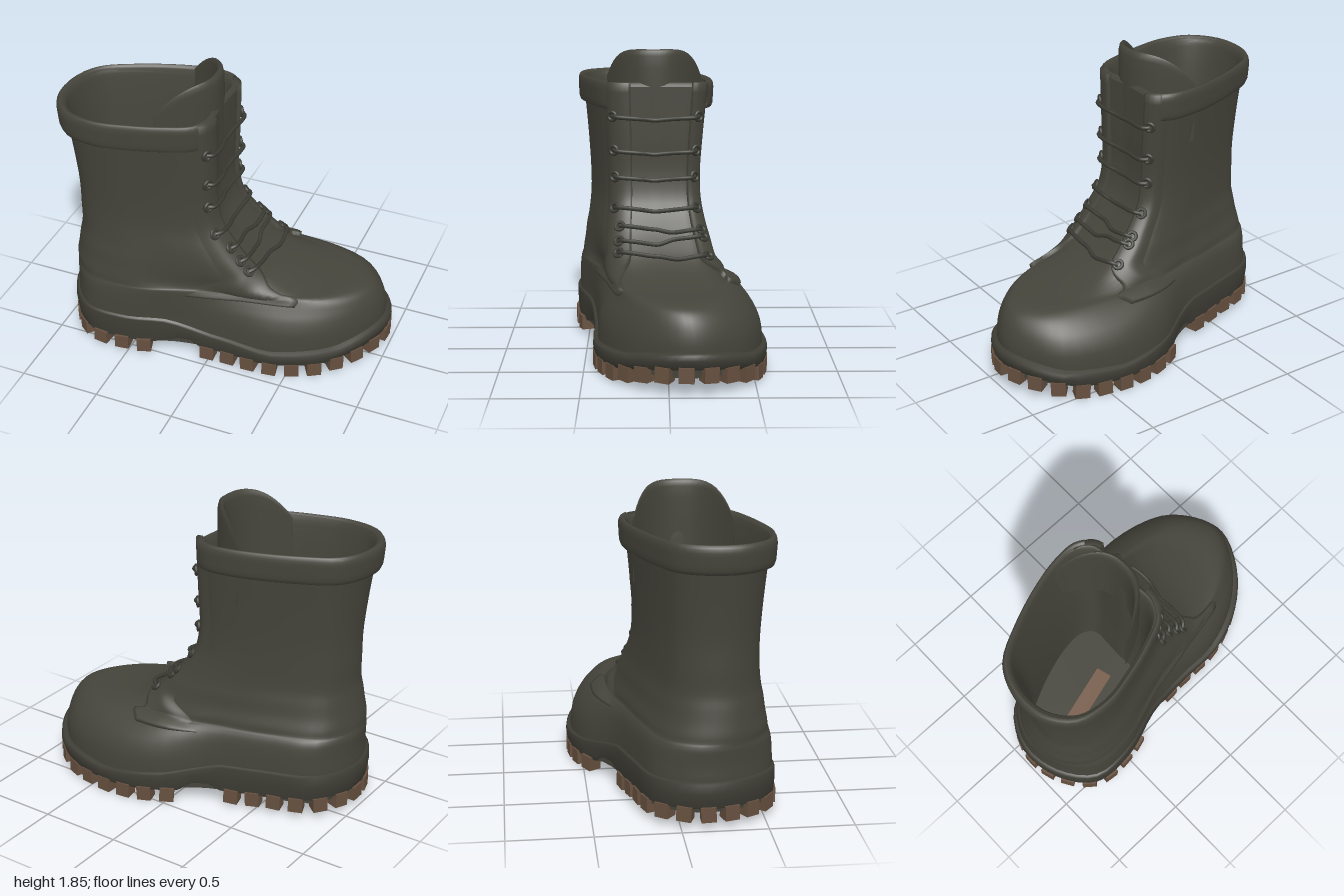
import * as THREE from 'three';

const V = (x, y, z) => new THREE.Vector3(x, y, z);
const { lerp, smoothstep } = THREE.MathUtils;
const SUB = 4; // columns per outline point

// Plan outlines (x, z), starting at the front tip and running round by +z
const soleOutline = [[1, -.1], [.9, .14], [.7, .33], [.42, .44], [.1, .45], [-.2, .48], [-.5, .57], [-.78, .56], [-.95, .36],
  [-.99, .1], [-.86, -.14], [-.55, -.25], [-.22, -.35], [.1, -.54], [.42, -.59], [.78, -.49], [.95, -.29]];
const shaftOutline = [[-.06, .08], [-.052, .17], [-.05, .27], [-.1, .36], [-.25, .43], [-.42, .48], [-.6, .51], [-.78, .47], [-.89, .33],
  [-.9, .15], [-.83, 0], [-.66, -.1], [-.45, -.18], [-.28, -.22], [-.14, -.22], [-.06, -.16], [-.055, -.04]];
const COLS = soleOutline.length * SUB;

const closedCurve = (pts) => new THREE.CatmullRomCurve3(pts.map(([x, z]) => V(x, 0, z)), true);
const sample = (curve) => Array.from({ length: COLS }, (_, i) => curve.getPoint(i / COLS));
const soleCurve = closedCurve(soleOutline);
const solePts = sample(soleCurve);
const shaftPts = sample(closedCurve(shaftOutline));

// Piecewise linear value along x
function along(table, x) {
  for (let i = 1; i < table.length; i++) {
    const [x0, y0] = table[i - 1], [x1, y1] = table[i];
    if (x <= x1) return lerp(y0, y1, Math.max(0, (x - x0) / (x1 - x0)));
  }
  return table[table.length - 1][1];
}
const baseY = (x) => along([[-1, .12], [-.3, .09], [-.24, .125], [-.12, .125], [-.06, .08], [.35, .07], [.7, .08], [1, .15]], x);
const randY = (x) => along([[-1, .29], [-.3, .27], [0, .2], [.4, .16], [.8, .19], [1, .25]], x);
const midZ = (x) => along([[-1, .19], [-.5, .155], [0, -.03], [.5, -.08], [1, -.1]], x);

// Horizontal section: t blends the foot outline into the shaft outline,
// s scales the width at the heel and sf the width at the toe
function section([y, xb, xf, t, s, sf = s]) {
  return solePts.map((p, i) => {
    const q = shaftPts[i];
    const u = lerp((p.x + .99) / 1.99, (q.x + .9) / .86, t);
    const c = lerp(midZ(p.x), .15, t);
    return V(lerp(xb, xf, u), y, c + (lerp(p.z, q.z, t) - c) * lerp(s, sf, smoothstep(u, .35, .75)));
  });
}

// Smooths a stack of sections with a curve through each column
function refine(rings, n) {
  const curves = rings[0].map((_, c) => new THREE.CatmullRomCurve3(rings.map((r) => r[c])));
  const rows = (rings.length - 1) * n;
  return Array.from({ length: rows + 1 }, (_, r) => curves.map((k) => k.getPoint(r / rows)));
}

// Skin over rows of points
function loft(rows, closed = true) {
  const n = rows[0].length, index = [];
  for (let r = 0; r < rows.length - 1; r++) {
    for (let c = 0; c < (closed ? n : n - 1); c++) {
      const a = r * n + c, b = r * n + (c + 1) % n;
      index.push(a, a + n, b, b, a + n, b + n);
    }
  }
  const g = new THREE.BufferGeometry();
  g.setAttribute('position', new THREE.Float32BufferAttribute(rows.flat().flatMap((p) => [p.x, p.y, p.z]), 3));
  g.setIndex(index);
  g.computeVertexNormals();
  return g;
}

export function createModel() {
  const group = new THREE.Group();
  const mat = (name, color) => new THREE.MeshStandardMaterial({ name, color, side: THREE.DoubleSide });
  const leather = mat('dark leather', 0x45443b);
  const rubber = mat('dark rubber', 0x3e3d35);
  const lace = mat('lace', 0x3a3a33);
  const mud = mat('worn brown lug', 0x66503f);
  const tan = mat('tan insole', 0x775d4c);
  const add = (name, geometry, material, parent = group) => {
    const m = new THREE.Mesh(geometry, material);
    m.name = name;
    parent.add(m);
    return m;
  };

  // Upper: foot, instep and shaft in one skin
  const P = refine([
    [.1, -.95, .95, 0, .97, .95], [.28, -.965, .96, 0, .96, .92], [.37, -.96, .945, .03, .96, .86], [.43, -.96, .92, .08, .96, .79],
    [.47, -.96, .885, .15, .96, .74], [.495, -.955, .82, .24, .96, .72], [.51, -.95, .62, .42, .98, .78], [.55, -.945, .42, .58, 1, .86],
    [.62, -.93, .28, .75, 1, .93], [.7, -.915, .18, .85, .99, .96], [.78, -.9, .1, .92, .96], [.92, -.9, 0, .97, .93],
    [1.08, -.9, -.035, 1, .94], [1.3, -.92, -.035, 1, .98], [1.5, -.945, -.035, 1, 1.03], [1.63, -.96, -.035, 1, 1.06],
  ].map(section), SUB);
  const upper = loft(P);
  add('upper', upper, leather);
  const normals = upper.attributes.normal;
  const lifted = (r, c, d) => {
    const col = (c + COLS) % COLS;
    return P[r][col].clone().addScaledVector(V().fromBufferAttribute(normals, r * COLS + col), d);
  };
  // Point above the upper at a row and any fractional column
  const onUpper = (r, c, d) => {
    const k = Math.floor(c);
    return lifted(r, k, d).lerp(lifted(r, k + 1, d), c - k);
  };
  const rowAt = (y) => P.reduce((best, row, r) => Math.abs(row[0].y - y) < Math.abs(P[best][0].y - y) ? r : best, 0);

  // Hollow inside with its floor and the bare strip on it
  add('lining', loft(refine([
    [1.63, -.96, -.035, 1, 1.06], [1.655, -.955, -.06, 1, 1.05], [1.6, -.935, -.085, 1, 1.01],
    [1.2, -.885, -.1, 1, .91], [.75, -.865, -.1, 1, .89], [.36, -.88, -.12, 1, .92],
  ].map(section), 3)), leather);
  add('insole', loft([[.36, -.88, -.12, 1, .92], [.36, -.5, -.5, 1, 0]].map((s) => section(s))), leather);
  const strip = add('insoleStrip', new THREE.BoxGeometry(.38, .008, .1), tan);
  strip.position.set(-.47, .368, .155);
  strip.rotation.y = .27;

  // Padded collar, open at the lacing
  add('collar', loft(refine([
    [1.49, -.94, -.035, 1, 1.02], [1.5, -.98, -.03, 1, 1.12], [1.58, -.995, -.025, 1, 1.15], [1.64, -.995, -.025, 1, 1.15],
    [1.665, -.975, -.04, 1, 1.11], [1.64, -.945, -.07, 1, 1.04], [1.57, -.93, -.09, 1, 1],
  ].map((s) => section(s).slice(11, 59)), 3), false), leather);

  // Lacing flaps over the upper: wide wings at the foot, narrow strips up the shaft,
  // thick along the lacing and fading out toward the back
  const low = rowAt(.46), top = P.length - 1, N = 16;
  for (const [name, frontLow, frontTop, backLow, backTop] of [['leftFlap', 10.5, 6, 21, 14], ['rightFlap', 54, 61, 48, 55]]) {
    const rows = [low, ...Array.from({ length: top - low + 1 }, (_, i) => low + i), top];
    const skin = rows.map((r, i) => {
      const k = smoothstep(P[r][0].y, .45, .64);
      const row = Array.from({ length: N + 2 }, (_, j) => {
        const f = Math.max(0, j - 1) / N; // 0 at the lacing, 1 at the back
        const edge = i === 0 || i === rows.length - 1 || j === 0;
        const c = lerp(lerp(frontLow, frontTop, k), lerp(backLow, backTop, k), f);
        const p = onUpper(r, c, edge ? -.012 : .024 - .028 * smoothstep(f, .45, 1));
        if (r === top) p.y += .025;
        return p;
      });
      return backLow < frontLow ? row.reverse() : row;
    });
    add(name, loft(skin, false), leather);
  }

  // Tongue: curved padded tab standing above the collar
  const tongueRows = [[0, 1], [.3, 1], [.6, 1], [.8, 1], [.93, .9], [.98, .6], [1, 0]].map(([h, fat]) =>
    Array.from({ length: 56 }, (_, i) => {
      const a = (i / 56) * Math.PI * 2, u = Math.cos(a);
      return V(-.082 - .27 * Math.abs(u) ** 2.5 - .028 * fat * Math.sin(a), lerp(1.3, 1.855 - .19 * Math.abs(u) ** 5, h), .08 + .295 * u);
    }));
  add('tongue', loft(tongueRows), leather);

  // Laces and eyelets
  const laces = new THREE.Group();
  laces.name = 'laces';
  group.add(laces);
  [1.45, 1.26, 1.07, .88, .78, .7, .63].forEach((y, i) => {
    const r = rowAt(y), cross = i > 3 ? (i % 2 ? 1 : -1) : 0;
    const left = i > 3 ? 8.5 : 10, right = -8.5;
    const rowOf = (c) => r + (c < 0 ? cross : 0);
    const path = [[left, .03], [left - 1, .048], [5, .045], [2, .035], [0, .035], [-3, .035], [-6, .045], [right + 1, .048], [right, .03]]
      .map(([c, d]) => {
        const p = onUpper(rowOf(c), c, d);
        p.y -= .025 * (1 - Math.abs(c) / 10);
        return p;
      });
    add('lace', new THREE.TubeGeometry(new THREE.CatmullRomCurve3(path), 32, .013, 8), lace, laces);
    for (const c of [left, right]) {
      const eyelet = add('eyelet', new THREE.TorusGeometry(.026, .011, 8, 16), lace, laces);
      eyelet.position.copy(onUpper(rowOf(c), c, .03));
      eyelet.lookAt(onUpper(rowOf(c), c, 1));
    }
  });

  // Sole: bottom skin, and a rand that follows the foot
  const soleRing = (s, yOf) => solePts.map((p) => V(p.x * s, yOf(p.x), lerp(midZ(p.x), p.z, s)));
  add('soleBottom', loft([solePts.map((p) => V(p.x * .96, baseY(p.x), midZ(p.x))), soleRing(.96, baseY)]), rubber);
  add('rand', loft([
    soleRing(.96, baseY), soleRing(.985, (x) => baseY(x) + .015), soleRing(.998, (x) => lerp(baseY(x), randY(x), .6)),
    soleRing(.995, (x) => randY(x) - .01), soleRing(.98, randY), soleRing(.9, (x) => randY(x) + .015),
  ]), rubber);

  // Lugs round the edge, leaving the arch free
  const lugs = new THREE.Group();
  lugs.name = 'lugs';
  group.add(lugs);
  const count = 36;
  for (let i = 0; i < count; i++) {
    const p = soleCurve.getPointAt(i / count), d = soleCurve.getTangentAt(i / count);
    if (p.x > -.29 && p.x < -.09) continue;
    const lug = add('lug', new THREE.BoxGeometry(.088, .09, .085), mud, lugs);
    lug.position.set(p.x * .955, baseY(p.x) - .023, lerp(midZ(p.x), p.z, .915));
    lug.rotation.set(0, Math.atan2(-d.z, d.x), .06 * Math.sin(i * 2.4));
  }

  // Cross ribs under heel and forefoot
  for (const x of [-.8, -.66, -.52, -.38, .02, .16, .3, .44, .58, .72]) {
    const zs = solePts.filter((p) => Math.abs(p.x - x) < .09).map((p) => p.z);
    const z0 = Math.min(...zs) + .1, z1 = Math.max(...zs) - .1;
    const rib = add('treadRib', new THREE.BoxGeometry(.06, .03, z1 - z0), rubber);
    rib.position.set(x, baseY(x) - .008, (z0 + z1) / 2);
  }
  return group;
}
